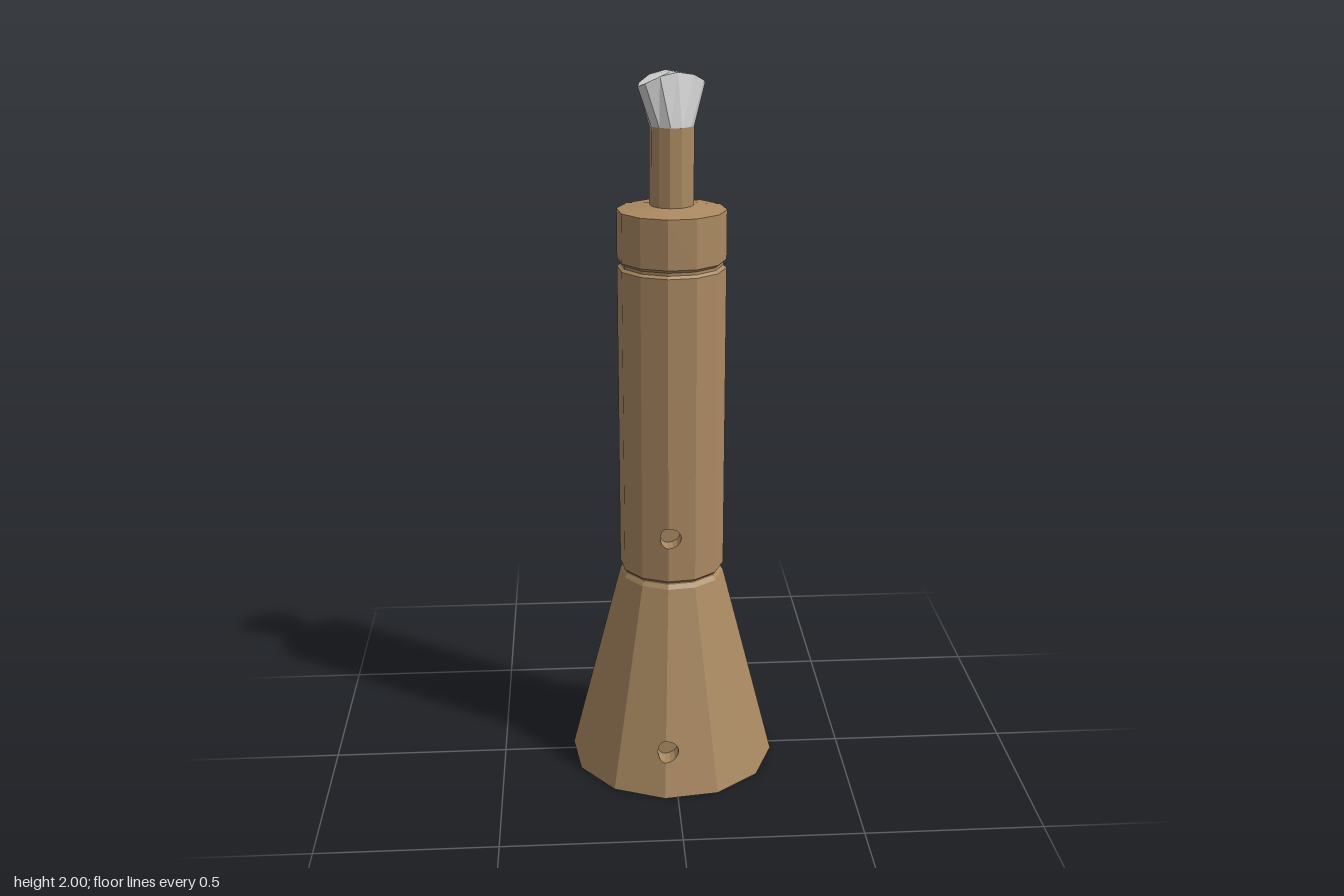
import * as THREE from 'three';

const SIDES = 12;
const STEP = (Math.PI * 2) / SIDES;
const EDGE = THREE.MathUtils.degToRad(-7.2); // angle of the front edge
const lerp = THREE.MathUtils.lerp;

const wood = new THREE.MeshStandardMaterial({ color: 0xab8a62, flatShading: true });
wood.name = 'brown wood';
const pale = new THREE.MeshStandardMaterial({ color: 0xcfcfcf, flatShading: true });
pale.name = 'pale grey reed';

function addMesh(group, name, geometry, material = wood) {
  const mesh = new THREE.Mesh(geometry, material);
  mesh.name = name;
  group.add(mesh);
  return mesh;
}

// Twelve-sided turned part; "gap" leaves out the two front facets.
function turned(points, gap = false) {
  const pts = points.map(([r, y]) => new THREE.Vector2(r, y));
  return gap
    ? new THREE.LatheGeometry(pts, SIDES - 2, EDGE + STEP, Math.PI * 2 - STEP * 2)
    : new THREE.LatheGeometry(pts, SIDES, EDGE, Math.PI * 2);
}

// Two front facets of a tapered tube with a round finger hole across their shared edge.
function holedFront(group, name, r0, y0, r1, y1, holeY, floorZ) {
  const radius = (y) => lerp(r0, r1, (y - y0) / (y1 - y0));
  const at = (angle, y) => new THREE.Vector2(radius(y) * Math.sin(angle), y);
  const surfaceZ = (x, y) => {
    const r = radius(y);
    const edgeX = r * Math.sin(EDGE);
    const other = x < edgeX ? EDGE - STEP : EDGE + STEP;
    const t = (x - edgeX) / (r * Math.sin(other) - edgeX);
    return lerp(r * Math.cos(EDGE), r * Math.cos(other), t);
  };

  // Hole outline, counter-clockwise from its lowest point
  const N = 16;
  const loop = [];
  for (let i = 0; i < N; i++) {
    const a = -Math.PI / 2 + (i / N) * Math.PI * 2;
    const y = holeY + 0.03 * Math.sin(a);
    const c = Math.cos(a);
    const x = radius(y) * Math.sin(EDGE) + c * (c > 0 ? 0.037 : 0.022);
    loop.push(new THREE.Vector2(x, y));
  }
  const rightHalf = loop.slice(0, N / 2 + 1);
  const leftHalf = [...loop.slice(N / 2), loop[0]];

  const L = EDGE - STEP, R = EDGE + STEP;
  const outlines = {
    Left: [at(EDGE, y0), at(R, y0), at(R, y1), at(EDGE, y1), ...rightHalf.slice().reverse()],
    Right: [at(L, y0), at(EDGE, y0), ...leftHalf.slice().reverse(), at(EDGE, y1), at(L, y1)],
  };
  for (const side in outlines) {
    const geo = new THREE.ShapeGeometry(new THREE.Shape(outlines[side]));
    const p = geo.attributes.position;
    for (let i = 0; i < p.count; i++) p.setZ(i, surfaceZ(p.getX(i), p.getY(i)));
    geo.computeVertexNormals();
    addMesh(group, name + 'Front' + side, geo);
  }

  // Wall and floor of the hole
  const wall = [];
  loop.forEach((p, i) => {
    const q = loop[(i + 1) % N];
    const fp = [p.x, p.y, surfaceZ(p.x, p.y)], fq = [q.x, q.y, surfaceZ(q.x, q.y)];
    const bp = [p.x, p.y, floorZ], bq = [q.x, q.y, floorZ];
    wall.push(...fp, ...fq, ...bp, ...fq, ...bq, ...bp);
  });
  const wallGeo = new THREE.BufferGeometry();
  wallGeo.setAttribute('position', new THREE.Float32BufferAttribute(wall, 3));
  wallGeo.computeVertexNormals();
  addMesh(group, name + 'HoleWall', wallGeo);
  const floor = new THREE.ShapeGeometry(new THREE.Shape(loop));
  addMesh(group, name + 'HoleFloor', floor.translate(0, 0, floorZ));
}

export function createModel() {
  const model = new THREE.Group();
  model.name = 'woodwind';

  // Flared bell with one hole
  addMesh(model, 'bell', turned([[0.297, 0], [0.149, 0.585]], true));
  holedFront(model, 'bell', 0.297, 0, 0.149, 0.585, 0.13, 0.215);

  // Hollow mouth of the bell and its rim
  const mouth = [];
  for (let i = 0; i <= 6; i++) {
    const a = (i / 6) * Math.PI / 2;
    mouth.push([0.245 * Math.sin(a), 0.25 * Math.cos(a)]);
  }
  mouth[6][1] = 0;
  addMesh(model, 'bellMouth', turned(mouth));
  addMesh(model, 'bellRim', turned([[0.245, 0], [0.297, 0]]));

  // Groove between bell and barrel
  addMesh(model, 'lowerGroove', turned([[0.149, 0.585], [0.141, 0.597], [0.141, 0.602], [0.149, 0.61]]));

  // Straight barrel with one hole
  addMesh(model, 'barrel', turned([[0.149, 0.61], [0.149, 1.48]], true));
  holedFront(model, 'barrel', 0.149, 0.61, 0.149, 1.48, 0.74, 0.1);

  // Upper groove, collar and neck
  addMesh(model, 'upperGroove', turned([[0.149, 1.48], [0.14, 1.487], [0.14, 1.495], [0.149, 1.503]]));
  addMesh(model, 'collar', turned([[0.149, 1.503], [0.149, 1.638], [0.059, 1.65]]));
  addMesh(model, 'neck', turned([[0.06, 1.64], [0.06, 1.86], [0, 1.86]]));

  // Reed: round at the foot, squeezed to a wide domed lens at the tip
  const reedGeo = new THREE.CylinderGeometry(0.06, 0.06, 0.14, SIDES);
  const p = reedGeo.attributes.position;
  for (let i = 0; i < p.count; i++) {
    if (p.getY(i) < 0) continue;
    const u = p.getX(i) / 0.06;
    p.setXYZ(i, p.getX(i) * 1.66, 0.07 - 0.035 * u * u, p.getZ(i) * 0.58);
  }
  reedGeo.computeVertexNormals();
  const reed = addMesh(model, 'reed', reedGeo, pale);
  reed.position.y = 1.93;
  reed.rotation.y = THREE.MathUtils.degToRad(24);

  return model;
}
